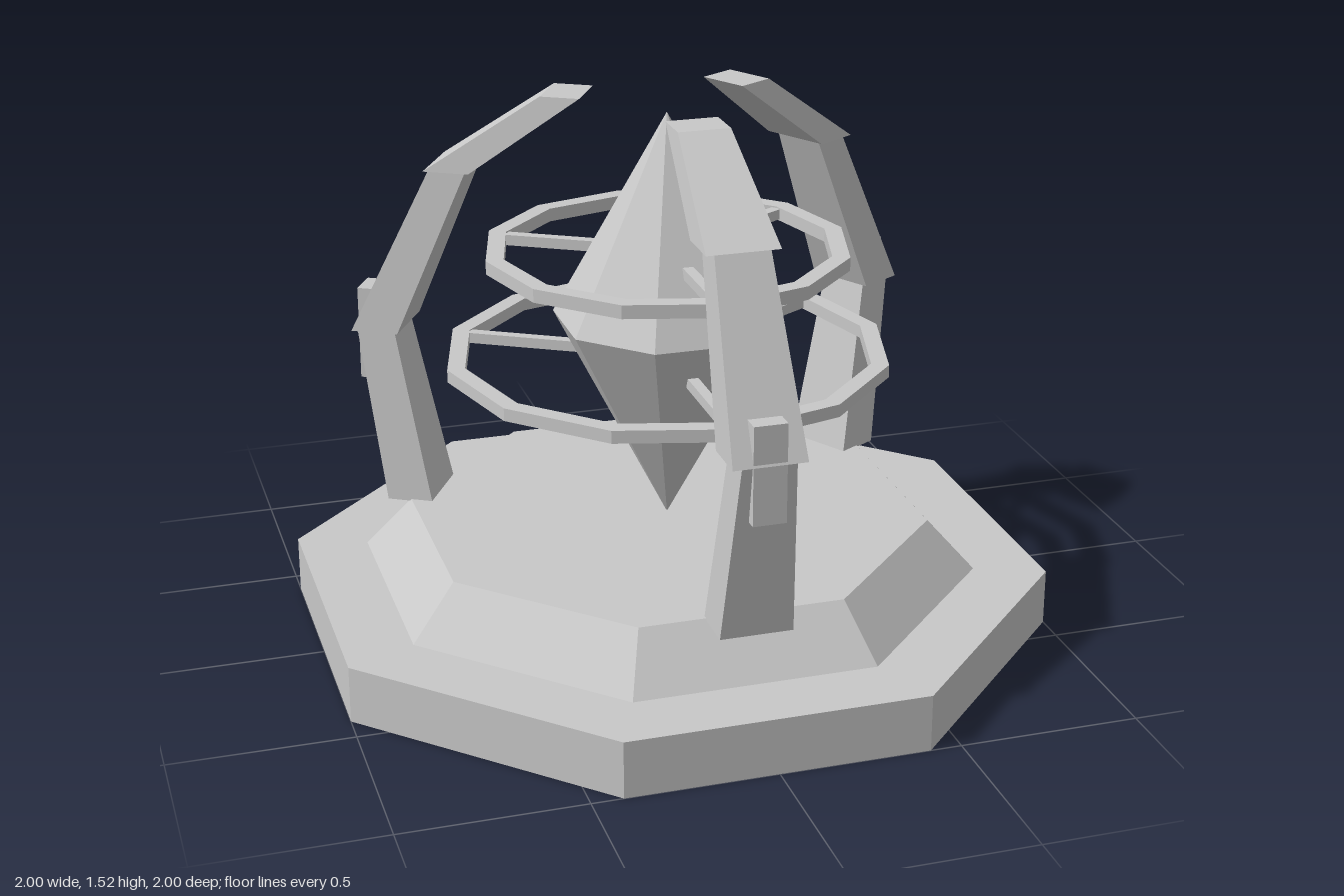
import * as THREE from 'three';

export function createModel() {
  const model = new THREE.Group();
  model.name = 'crystalPedestal';
  const stone = new THREE.MeshStandardMaterial({ color: 0xc8c8c8 });
  stone.name = 'paleGrey';

  const add = (parent, name, geometry) => {
    const flat = geometry.index ? geometry.toNonIndexed() : geometry;
    flat.computeVertexNormals();
    const mesh = new THREE.Mesh(flat, stone);
    mesh.name = name;
    parent.add(mesh);
  };

  // Eight-sided frustum with flats facing the axes, sized by its flats
  const octagon = (bottom, top, y0, y1) => {
    const k = 1 / Math.cos(Math.PI / 8);
    return new THREE.CylinderGeometry(top * k, bottom * k, y1 - y0, 8)
      .rotateY(Math.PI / 8).translate(0, (y0 + y1) / 2, 0);
  };

  // Stepped base
  add(model, 'basePlinth', octagon(1, 1, 0, 0.16));
  add(model, 'baseStep', octagon(0.81, 0.685, 0.16, 0.305));

  // Floating crystal: two pyramids joined at the girdle
  const k = 0.295 / Math.cos(Math.PI / 8);
  const cone = (height, y) => new THREE.ConeGeometry(k, height, 8, 1, true)
    .rotateY(Math.PI / 8).translate(0, y, 0);
  add(model, 'crystalTop', cone(0.58, 1.19));
  add(model, 'crystalBottom', cone(0.6, 0).rotateX(Math.PI).translate(0, 0.6, 0));

  // Twelve-sided rings with a rectangular section
  const ring = (inner, outer, y0, y1) => new THREE.LatheGeometry(
    [[inner, y0], [outer, y0], [outer, y1], [inner, y1], [inner, y0]]
      .map(([r, y]) => new THREE.Vector2(r, y)), 12);
  add(model, 'lowerRing', ring(0.575, 0.625, 0.767, 0.803));
  add(model, 'upperRing', ring(0.46, 0.51, 1.067, 1.105));

  // Arm segment: a box whose ends are set to [y, inner z, outer z, half width]
  const segment = (low, high) => {
    const g = new THREE.BoxGeometry(2, 2, 2);
    const p = g.attributes.position;
    for (let i = 0; i < p.count; i++) {
      const [y, inner, outer, half] = p.getY(i) < 0 ? low : high;
      p.setXYZ(i, p.getX(i) * half, y, p.getZ(i) < 0 ? inner : outer);
    }
    return g;
  };

  const bar = (w, y0, y1, z0, z1) => new THREE.BoxGeometry(w, y1 - y0, z1 - z0)
    .translate(0, (y0 + y1) / 2, (z0 + z1) / 2);

  // Three curved arms, each with a clasp and struts holding the crystal
  for (let i = 0; i < 3; i++) {
    const arm = new THREE.Group();
    arm.name = 'arm' + (i + 1);
    arm.rotation.y = i * Math.PI * 2 / 3;
    add(arm, 'lowerSegment', segment([0.3, 0.67, 0.803, 0.1], [0.81, 0.775, 0.885, 0.073]));
    add(arm, 'middleSegment', segment([0.81, 0.757, 0.893, 0.1], [1.295, 0.55, 0.655, 0.075]));
    add(arm, 'upperSegment', segment([1.295, 0.535, 0.665, 0.1], [1.52, 0.225, 0.335, 0.072]));
    add(arm, 'clasp', bar(0.09, 0.65, 0.92, 0.8, 0.89));
    add(arm, 'lowerStrut', bar(0.03, 0.77, 0.8, 0.2, 0.59));
    add(arm, 'upperStrut', bar(0.03, 1.071, 1.101, 0.195, 0.48));
    model.add(arm);
  }
  return model;
}
